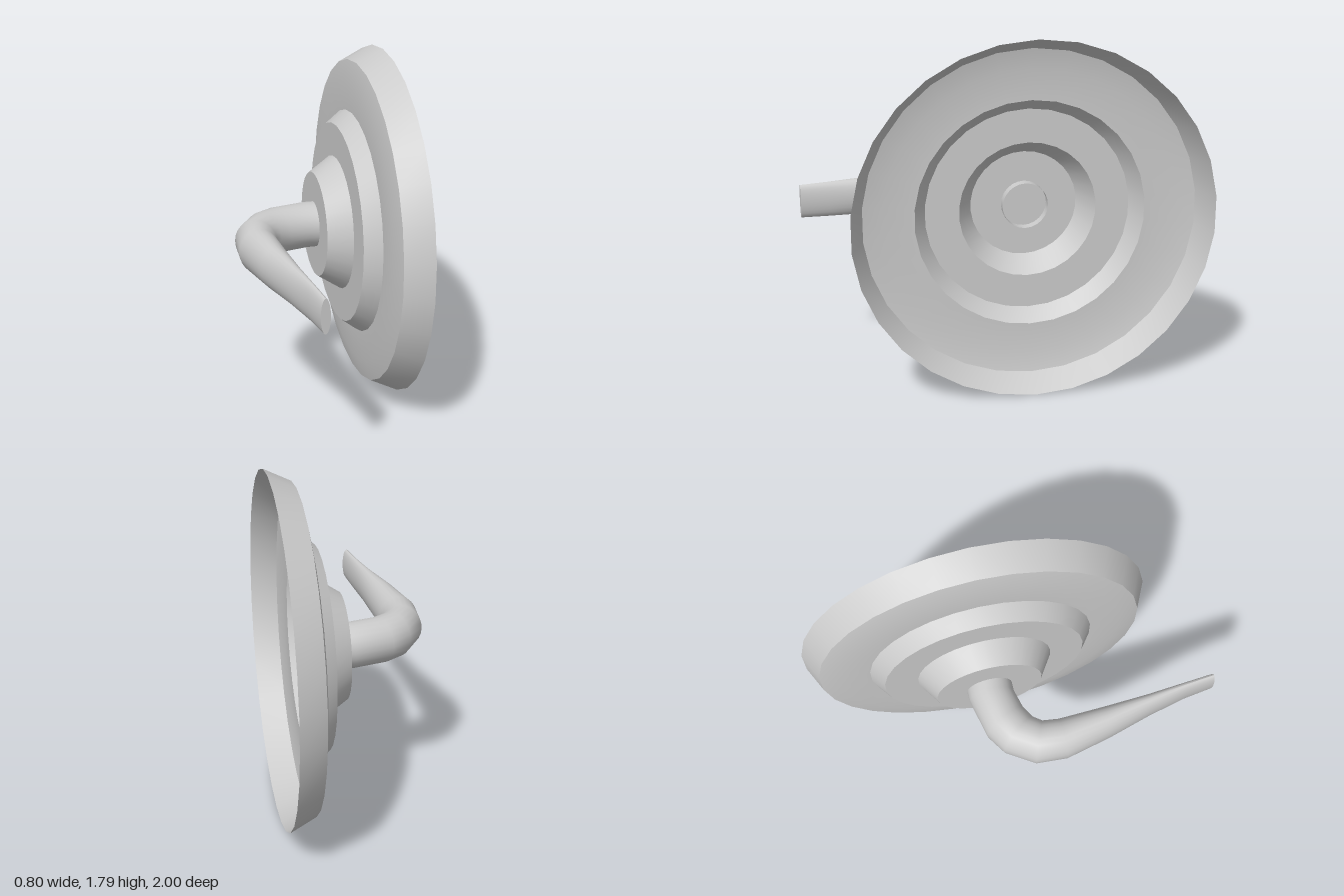
import * as THREE from 'three';
import { toCreasedNormals } from 'three/addons/utils/BufferGeometryUtils.js';

const CY = 0.897, CZ = -0.105;

// Lofts elliptical rings; each section spans outer (x, z) to inner (x, z) with a half height.
function loftHandle(sections, sides) {
  const pos = [], index = [];
  for (const [ox, oz, ix, iz, h] of sections) {
    for (let j = 0; j < sides; j++) {
      const a = (j / sides) * Math.PI * 2, c = (1 + Math.cos(a)) / 2;
      pos.push(ix + (ox - ix) * c, CY + h * Math.sin(a), iz + (oz - iz) * c);
    }
  }
  for (let i = 0; i < sections.length - 1; i++) {
    for (let j = 0; j < sides; j++) {
      const k = (j + 1) % sides;
      const a = i * sides + j, b = i * sides + k, c = a + sides, d = b + sides;
      index.push(a, c, b, b, c, d);
    }
  }
  // flat cap on the tip
  const last = (sections.length - 1) * sides;
  for (let j = 1; j < sides - 1; j++) index.push(last, last + j + 1, last + j);
  const g = new THREE.BufferGeometry();
  g.setAttribute('position', new THREE.Float32BufferAttribute(pos, 3));
  g.setIndex(index);
  return toCreasedNormals(g, 0.7);
}

export function createModel() {
  const group = new THREE.Group();
  const material = new THREE.MeshStandardMaterial({ color: 0xcccccc, side: THREE.DoubleSide });

  // Stepped hollow plate: radius, then position along x
  const profile = [
    [0, 0.05], [0.27, 0.05], [0.345, 0.165], [0.515, 0.165],
    [0.575, 0.245], [0.73, 0.245], [0.83, 0.265], [0.895, 0.4],
  ].map(([r, x]) => new THREE.Vector2(r, x));
  const plateGeo = new THREE.LatheGeometry(profile, 30, Math.PI / 2);
  plateGeo.rotateZ(-Math.PI / 2);
  const plate = new THREE.Mesh(toCreasedNormals(plateGeo, 0.4), material);
  plate.name = 'backPlate';
  plate.position.set(0, CY, CZ);
  group.add(plate);

  // Lever: round shank through the plate, bend, then a flattening taper
  const lever = new THREE.Mesh(loftHandle([
    [0.1, -0.221, 0.1, 0.01, 0.117],
    [0, -0.221, 0, 0.01, 0.117],
    [-0.2, -0.175, -0.1, 0.035, 0.117],
    [-0.3, -0.11, -0.16, 0.07, 0.117],
    [-0.39, 0.03, -0.19, 0.11, 0.117],
    [-0.4, 0.19, -0.2, 0.19, 0.115],
    [-0.345, 0.42, -0.192, 0.42, 0.108],
    [-0.275, 0.65, -0.182, 0.65, 0.098],
    [-0.225, 0.85, -0.167, 0.85, 0.091],
    [-0.202, 1, -0.155, 0.995, 0.086],
  ], 24), material);
  lever.name = 'leverHandle';
  group.add(lever);

  return group;
}
